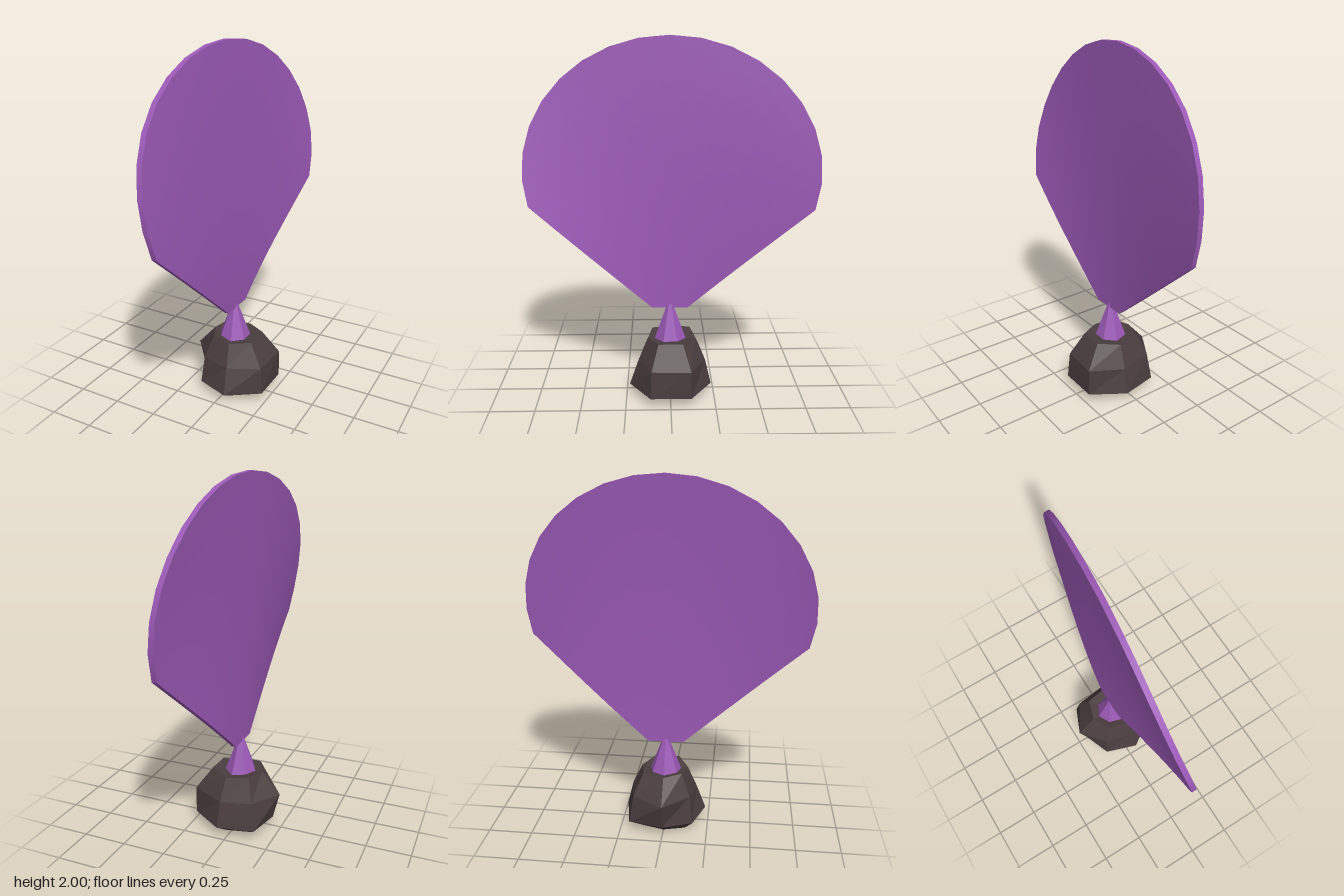
import * as THREE from 'three';
import { ParametricGeometry } from 'three/addons/geometries/ParametricGeometry.js';

const HALF = 0.014; // half thickness of the fan
const SEGS = 18, ROWS = 12;

// Gentle twist and cup of the fan: sideways offset for a given height and depth
function bend(y, z) {
  const h = y - 0.51;
  return -(0.135 * h - 0.042 * h * h) * z + (0.178 - 0.132 * h) * z * z - 0.0225 * h * h;
}

// Point on the fan: u runs across (+z to -z), k from the foot to the rounded edge
function fanPoint(u, k, offset, target) {
  const a = THREE.MathUtils.degToRad(105.5) * (1 - 2 * u);
  const z = THREE.MathUtils.lerp(0.1 * (1 - 2 * u), 0.8 * Math.sin(a), k);
  const y = THREE.MathUtils.lerp(0.51, 1.29 + 0.71 * Math.cos(a), k);
  target.set(bend(y, z) + offset, y, z);
}

// Faceted rock from rings of [y, radii around]
function rockGeometry(rings) {
  const n = rings[0].r.length, pos = [], index = [];
  for (const { y, r } of rings) {
    r.forEach((rad, i) => {
      const a = Math.PI + (i * 2 * Math.PI) / n;
      pos.push(rad * Math.cos(a), y + (rad > 0 ? 0.008 * Math.sin(i * 2.3) * (y > 0.1 ? 1 : 0) : 0), rad * Math.sin(a));
    });
  }
  for (let k = 0; k < rings.length - 1; k++) {
    for (let i = 0; i < n; i++) {
      const j = (i + 1) % n;
      const a = k * n + i, b = k * n + j, c = a + n, d = b + n;
      index.push(a, c, b, b, c, d);
    }
  }
  const g = new THREE.BufferGeometry();
  g.setAttribute('position', new THREE.Float32BufferAttribute(pos, 3));
  g.setIndex(index);
  const flat = g.toNonIndexed();
  flat.computeVertexNormals();
  return flat;
}

export function createModel() {
  const model = new THREE.Group();
  const purple = new THREE.MeshStandardMaterial({ color: 0x9b59b6 });
  purple.name = 'coral purple';
  const brown = new THREE.MeshStandardMaterial({ color: 0x4a3d3f });
  brown.name = 'rock brown';

  const add = (parent, name, geometry, material) => {
    const mesh = new THREE.Mesh(geometry, material);
    mesh.name = name;
    parent.add(mesh);
    return mesh;
  };

  // Rock base, with a shallow hollow on top
  const ring = (y, ...r) => ({ y, r });
  add(model, 'rock', rockGeometry([
    ring(0, 0, 0, 0, 0, 0, 0, 0),
    ring(0, 0.13, 0.155, 0.155, 0.14, 0.14, 0.155, 0.155),
    ring(0.057, 0.2, 0.25, 0.24, 0.262, 0.26, 0.238, 0.215),
    ring(0.21, 0.24, 0.22, 0.205, 0.26, 0.245, 0.185, 0.19),
    ring(0.338, 0.13, 0.15, 0.145, 0.16, 0.155, 0.13, 0.13),
    ring(0.315, 0, 0, 0, 0, 0, 0, 0),
  ]), brown);

  // Tapered stalk with flat sides
  const stalk = new THREE.CylinderGeometry(0.012, 0.1, 0.24, 7).toNonIndexed();
  stalk.rotateY(-Math.PI / 2);
  stalk.computeVertexNormals();
  add(model, 'stalk', stalk, purple).position.y = 0.42;

  // Fan: two broad faces
  const fan = new THREE.Group();
  fan.name = 'fan';
  model.add(fan);
  for (const s of [1, -1]) {
    const face = new ParametricGeometry(
      (u, v, t) => fanPoint(s > 0 ? u : 1 - u, v, s * HALF, t), SEGS, ROWS);
    add(fan, s > 0 ? 'leftFace' : 'rightFace', face, purple);
  }

  // Fan rim: foot, straight sides and rounded edge
  const rims = {
    footRim: (t) => [1 - t, 0],
    frontRim: (t) => [0, t],
    roundRim: (t) => [t, 1],
    backRim: (t) => [1, 1 - t],
  };
  for (const [name, path] of Object.entries(rims)) {
    const strip = new ParametricGeometry((u, v, t) => {
      const [a, k] = path(u);
      fanPoint(a, k, HALF * (1 - 2 * v), t);
    }, name === 'roundRim' || name === 'footRim' ? SEGS : ROWS, 1);
    add(fan, name, strip, purple);
  }
  return model;
}
